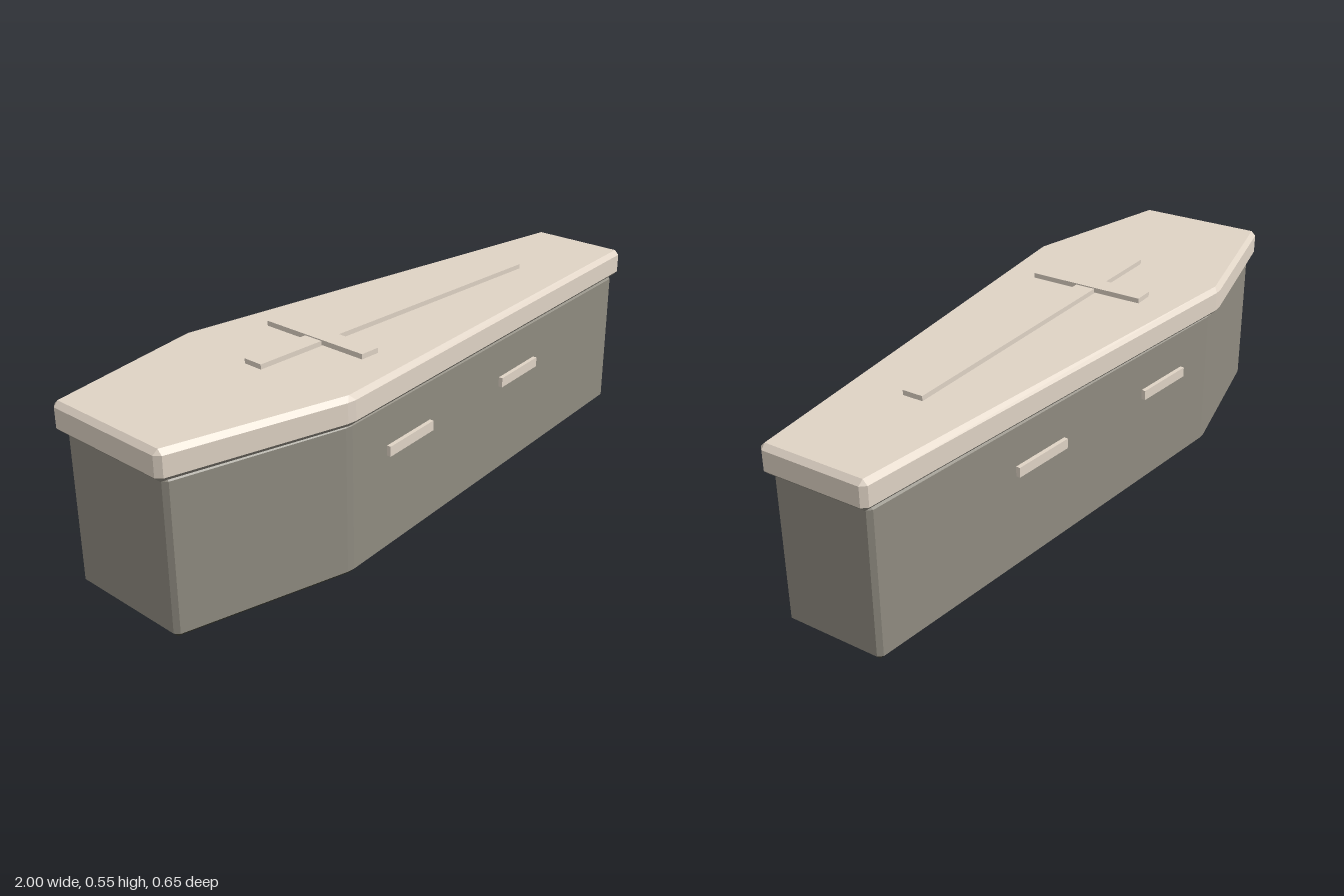
import * as THREE from 'three';

function colour(name, hex) {
  const m = new THREE.MeshStandardMaterial({ color: hex });
  m.name = name;
  return m;
}
const paleWood = colour('paleWood', 0xdfd3c5);
const darkWood = colour('darkWood', 0x8f8b80);
const baseWood = colour('baseWood', 0x444438);

// Six-sided outline, mirrored across z = 0
function outline(endX, shoulderX, headZ, shoulderZ, footZ) {
  const half = [[endX, footZ], [shoulderX, shoulderZ], [-endX, headZ]];
  const mirrored = half.map(([x, z]) => [x, -z]).reverse();
  return [...half, ...mirrored].map(([x, z]) => new THREE.Vector2(x, z));
}

// Upright prism with every edge chamfered by d.
// Material group 0 is the underside and its chamfer, group 1 the rest.
function chamferedPrism(points, y0, y1, d) {
  const n = points.length;
  const inner = [], outer = [];
  points.forEach((p, i) => {
    const a = points[(i + n - 1) % n].clone().sub(p).normalize();
    const b = points[(i + 1) % n].clone().sub(p).normalize();
    const sin = Math.abs(a.cross(b));
    const inset = p.clone().addScaledVector(a.clone().add(b), d / sin);
    inner.push(inset, inset);
    outer.push(p.clone().addScaledVector(a, d), p.clone().addScaledVector(b, d));
  });
  const rings = [[inner, y0], [outer, y0 + d], [outer, y1 - d], [inner, y1]];
  const pos = [];
  const put = (r, i) => {
    const [ring, y] = rings[r];
    const p = ring[i % ring.length];
    pos.push(p.x, y, -p.y);
  };
  const m = 2 * n;
  const band = (r) => {
    for (let i = 0; i < m; i++) {
      // skip the collapsed half of each corner triangle
      const corner = i % 2 === 0;
      if (!(corner && r === 0)) { put(r, i); put(r, i + 1); put(r + 1, i + 1); }
      if (!(corner && r === 2)) { put(r, i); put(r + 1, i + 1); put(r + 1, i); }
    }
  };
  for (let i = 2; i < m - 2; i += 2) { put(0, 0); put(0, i + 2); put(0, i); }
  band(0);
  const split = pos.length / 3;
  band(1);
  band(2);
  for (let i = 2; i < m - 2; i += 2) { put(3, 0); put(3, i); put(3, i + 2); }

  const g = new THREE.BufferGeometry();
  g.setAttribute('position', new THREE.Float32BufferAttribute(pos, 3));
  g.addGroup(0, split, 0);
  g.addGroup(split, pos.length / 3 - split, 1);
  g.computeVertexNormals();
  return g;
}

export function createModel() {
  const model = new THREE.Group();
  model.name = 'coffin';

  const add = (name, geometry, material, x = 0, y = 0, z = 0) => {
    const mesh = new THREE.Mesh(geometry, material);
    mesh.name = name;
    mesh.position.set(x, y, z);
    model.add(mesh);
    return mesh;
  };

  // Box with a darker base, and overhanging lid with a darker underside
  add('body', chamferedPrism(outline(0.973, -0.465, 0.196, 0.308, 0.154), 0, 0.45, 0.0115), [baseWood, darkWood]);
  add('lid', chamferedPrism(outline(1, -0.475, 0.21, 0.329, 0.165), 0.448, 0.534, 0.014), [darkWood, paleWood]);

  // Raised cross on the lid
  add('crossLongBar', new THREE.BoxGeometry(1.126, 0.015, 0.063), paleWood, 0.05, 0.541, 0);
  add('crossShortBar', new THREE.BoxGeometry(0.063, 0.015, 0.37), paleWood, -0.257, 0.5445, 0);

  // Two handles along each long side, following its slope
  const handle = new THREE.BoxGeometry(0.203, 0.03, 0.0125);
  for (const side of [1, -1]) {
    for (const [x, z] of [[-0.207, 0.289], [0.359, 0.2285]]) {
      add('handle', handle, paleWood, x, 0.309, side * z).rotation.y = side * Math.atan(0.1075);
    }
  }
  return model;
}
